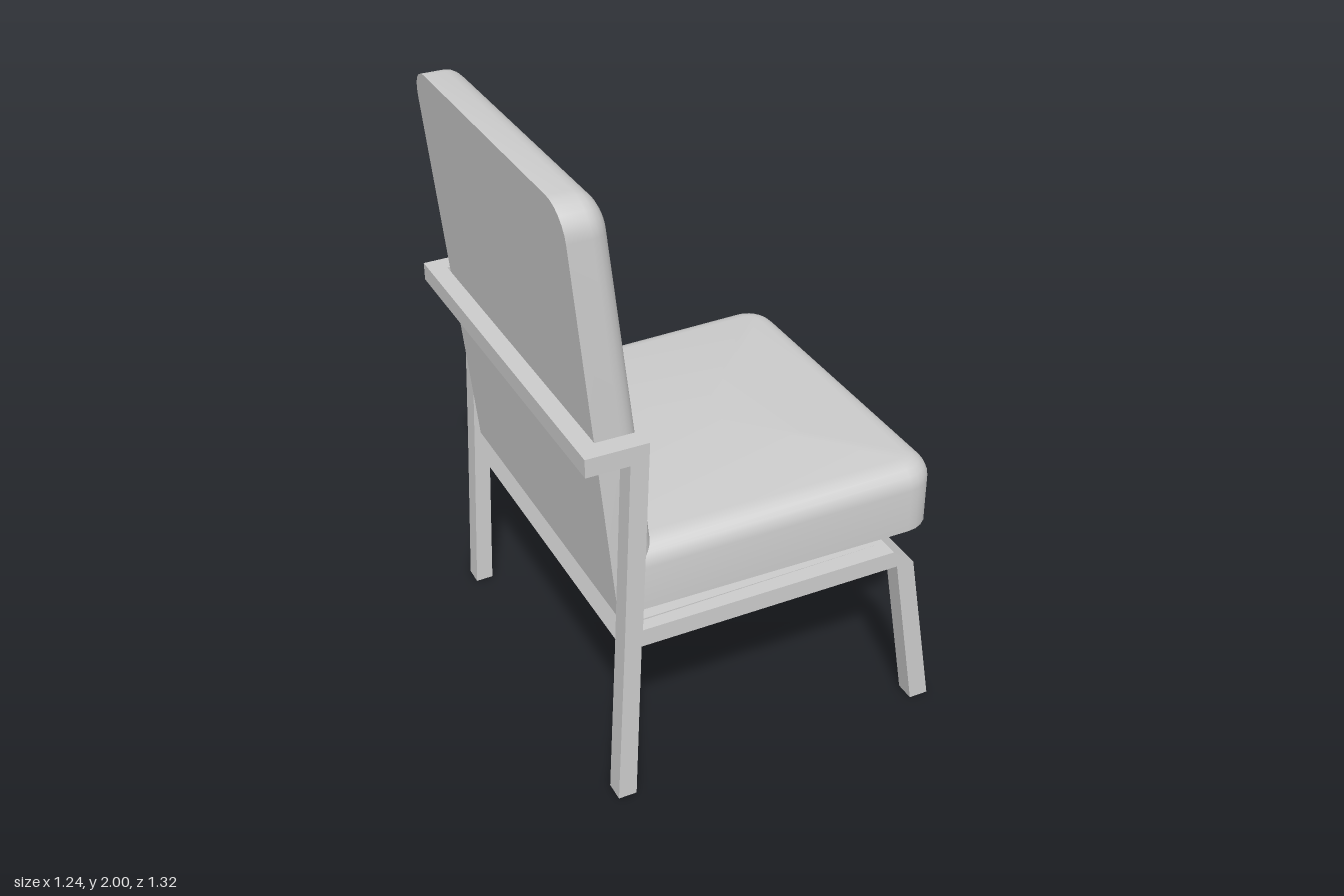
import * as THREE from 'three';
import { toCreasedNormals } from 'three/addons/utils/BufferGeometryUtils.js';

const grey = new THREE.MeshStandardMaterial({ color: 0xcccccc });
grey.name = 'light grey';

// Outline of a slab: square at u = 0, rounded at the far end, shrunk by t
function outline(length, half, radius, t) {
  const u = length - t, h = half - t, r = Math.max(radius - t, 0.015);
  const pts = [[0, -h]];
  for (const [side, start] of [[-1, -Math.PI / 2], [1, 0]]) {
    for (let i = 0; i <= 6; i++) {
      const a = start + (i / 6) * Math.PI / 2;
      pts.push([u - r + r * Math.cos(a), side * (h - r) + r * Math.sin(a)]);
    }
  }
  pts.push([0, h]);
  return pts;
}

// Cushion slab: flat base, straight sides, rounded upper edge; map places (u, v, w)
function slab({ length, half, radius, thick, bevel, map }) {
  const rings = [[0, 0]];
  for (let i = 0; i <= 5; i++) {
    const a = (i / 5) * Math.PI / 2;
    rings.push([bevel * (1 - Math.cos(a)), thick - bevel + bevel * Math.sin(a)]);
  }
  const pos = [], index = [];
  let n = 0;
  for (const [t, w] of rings) {
    const pts = outline(length, half, radius, t);
    n = pts.length;
    for (const [u, v] of pts) pos.push(...map(u, v, w));
  }
  for (let k = 0; k < rings.length - 1; k++) {
    for (let i = 0; i < n; i++) {
      const j = (i + 1) % n, a = k * n + i, b = k * n + j;
      index.push(a, a + n, b, b, a + n, b + n);
    }
  }
  // flat caps
  const top = (rings.length - 1) * n, c = pos.length / 3;
  pos.push(...map(length / 2, 0, 0), ...map(length / 2, 0, thick));
  for (let i = 0; i < n; i++) {
    const j = (i + 1) % n;
    index.push(c, i, j, c + 1, top + j, top + i);
  }
  const geo = new THREE.BufferGeometry();
  geo.setAttribute('position', new THREE.Float32BufferAttribute(pos, 3));
  geo.setIndex(index);
  return toCreasedNormals(geo, 0.6);
}

function extrude(points, depth) {
  const shape = new THREE.Shape(points.map(([x, y]) => new THREE.Vector2(x, y)));
  return new THREE.ExtrudeGeometry(shape, { depth, bevelEnabled: false });
}

export function createModel() {
  const group = new THREE.Group();
  const add = (name, geo) => {
    const mesh = new THREE.Mesh(geo, grey);
    mesh.name = name;
    group.add(mesh);
    return mesh;
  };

  // Seat, slightly wider towards the front
  add('seatCushion', slab({
    length: 1.09, half: 0.56, radius: 0.11, thick: 0.23, bevel: 0.075,
    map: (u, v, w) => [-0.47 + u, 0.64 + w, v * (1 + 0.045 * u)],
  }));

  // Reclined back, thinner towards the top
  add('backCushion', slab({
    length: 1.36, half: 0.56, radius: 0.1, thick: 0.155, bevel: 0.07,
    map: (u, v, w) => [-0.49 - 0.096 * u + w * (1 - 0.1 * u), 0.64 + u, -v],
  }));

  // Side frames: rear leg and post, seat rail, front leg and top hook
  const profile = [
    [-0.54, 0], [-0.48, 0], [-0.455, 0.58], [0.425, 0.58], [0.52, 0], [0.585, 0],
    [0.485, 0.58], [0.41, 0.64], [-0.45, 0.64], [-0.42, 1.29], [-0.615, 1.29],
    [-0.615, 1.23], [-0.48, 1.23], [-0.51, 0.58],
  ];
  const depth = 0.065;
  for (const [name, side] of [['leftFrame', 1], ['rightFrame', -1]]) {
    const geo = extrude(profile, depth);
    const p = geo.attributes.position;
    for (let i = 0; i < p.count; i++) {
      const inner = 0.585 + 0.018 * p.getX(i);
      p.setZ(i, side > 0 ? p.getZ(i) + inner : p.getZ(i) - depth - inner);
    }
    geo.computeVertexNormals();
    add(name, geo);
  }

  // Panel under the seat
  const panel = extrude([[-0.51, 0.58], [0.485, 0.58], [0.41, 0.64], [-0.485, 0.645]], 1.2);
  add('seatPanel', panel.translate(0, 0, -0.6));

  // Rail behind the back cushion
  add('backRail', new THREE.BoxGeometry(0.058, 0.06, 1.16)).position.set(-0.586, 1.26, 0);

  return group;
}
